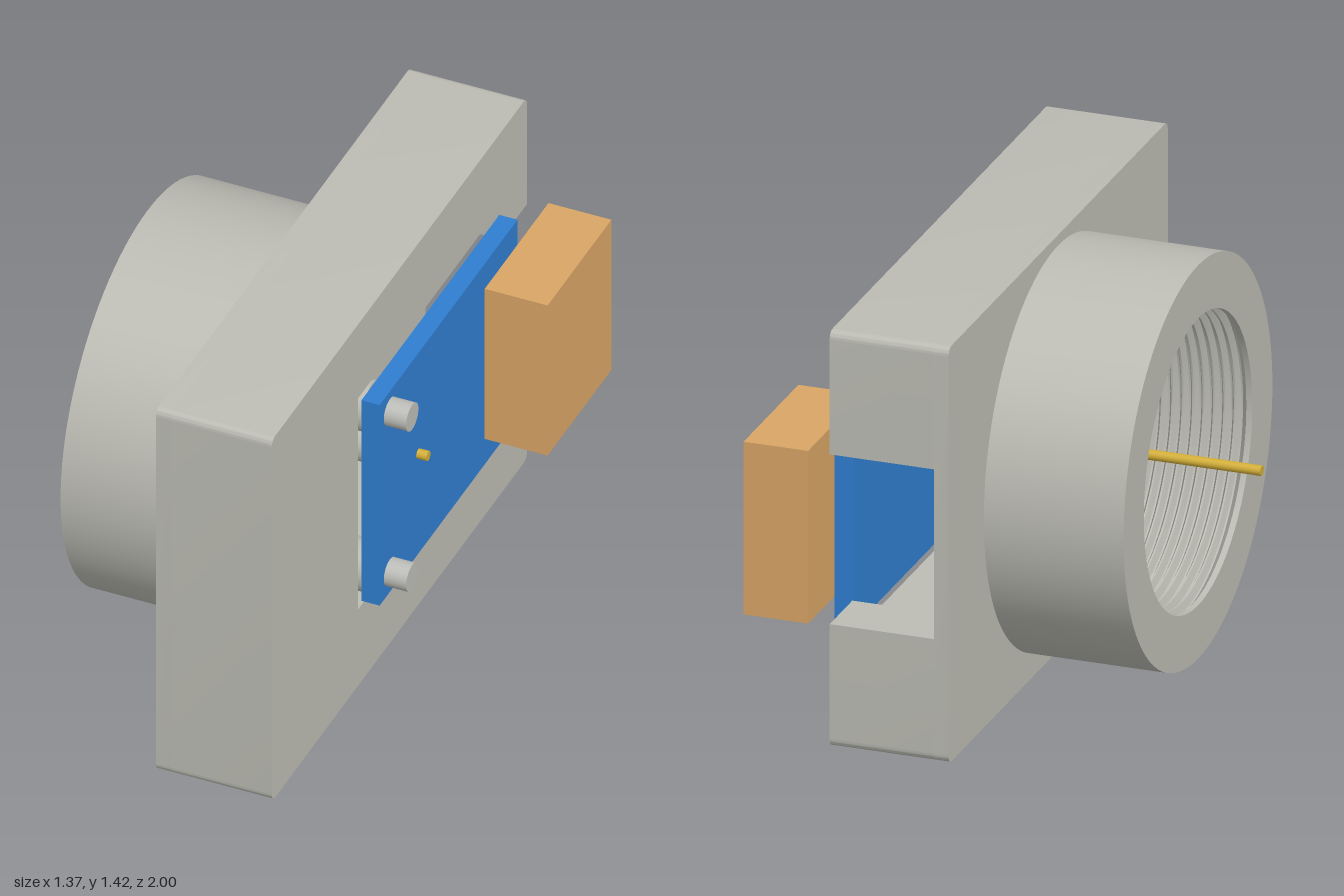
import * as THREE from 'three';
import { toCreasedNormals } from 'three/addons/utils/BufferGeometryUtils.js';

const mat = (name, color) => Object.assign(new THREE.MeshStandardMaterial({ color }), { name });

const CY = 0.712, CZ = 0.01; // axis of the threaded socket
const SCREWS = [[0.4, 0.23], [1.03, 0.23]]; // y, z

export function createModel() {
  const group = new THREE.Group();
  const housingGrey = mat('housing grey', 0xbcbcb4);
  const screwGrey = mat('screw grey', 0xbdbdb9);
  const boardBlue = mat('board blue', 0x2f7ed0);
  const connectorTan = mat('connector tan', 0xd9a566);
  const pinGold = mat('pin gold', 0xd4af37);

  const add = (name, geometry, material) => {
    const mesh = new THREE.Mesh(geometry, material);
    mesh.name = name;
    group.add(mesh);
    return mesh;
  };
  // box given by its x, y and z limits
  const box = (name, material, [x0, x1], [y0, y1], [z0, z1]) => {
    const mesh = add(name, new THREE.BoxGeometry(x1 - x0, y1 - y0, z1 - z0), material);
    mesh.position.set((x0 + x1) / 2, (y0 + y1) / 2, (z0 + z1) / 2);
  };
  // cylinder lying along x
  const rod = (name, material, r, x0, x1, y, z, sides = 32) => {
    const mesh = add(name, new THREE.CylinderGeometry(r, r, x1 - x0, sides), material);
    mesh.rotation.z = -Math.PI / 2;
    mesh.position.set((x0 + x1) / 2, y, z);
  };
  // shape drawn in (-z, y), extruded along x
  const slab = (name, shape, x0, x1) => {
    const g = new THREE.ExtrudeGeometry(shape, { depth: x1 - x0, bevelEnabled: false, curveSegments: 12 });
    const mesh = add(name, toCreasedNormals(g, 0.6), housingGrey);
    mesh.rotation.y = Math.PI / 2;
    mesh.position.x = x0;
  };

  // Outline of the block from the back edge's notch or closed, with rounded corners
  const L = -1, R = 0.98, H = 1.42, c = 0.03;
  const outline = (notch) => {
    const s = new THREE.Shape();
    s.moveTo(L + c, 0);
    s.lineTo(R - c, 0);
    s.quadraticCurveTo(R, 0, R, c);
    if (notch) {
      const path = [[R, 0.42], [0.775, 0.42], [0.775, 0.3], [-0.33, 0.3],
        [-0.33, 1.13], [0.775, 1.13], [0.775, 1.0], [R, 1.0]];
      path.forEach(([u, v]) => s.lineTo(u, v));
    }
    s.lineTo(R, H - c);
    s.quadraticCurveTo(R, H, R - c, H);
    s.lineTo(L + c, H);
    s.quadraticCurveTo(L, H, L, H - c);
    s.lineTo(L, c);
    s.quadraticCurveTo(L, 0, L + c, 0);
    return s;
  };

  // Block: thin floor with screw holes, and the wall around the pocket
  const floor = outline(false);
  for (const [y, z] of SCREWS) {
    floor.holes.push(new THREE.Path().absarc(-z, y, 0.048, 0, Math.PI * 2, true));
  }
  slab('blockFloor', floor, 0, 0.05);
  slab('blockWall', outline(true), 0.05, 0.4);

  // Threaded socket: bore teeth, rim, then the outer wall
  const profile = [[0.515, 0], [0.515, -0.04]];
  const turns = 11, pitch = 0.035;
  for (let i = 0; i < turns; i++) {
    const a = -0.05 - i * pitch;
    profile.push([0.49, a - 0.008], [0.49, a - 0.014], [0.515, a - 0.024], [0.515, a - 0.03]);
  }
  profile.push([0.49, -0.45], [0.49, -0.47], [0.672, -0.47], [0.672, 0]);
  const lathe = new THREE.LatheGeometry(profile.map(([r, x]) => new THREE.Vector2(r, x)), 96);
  const socket = add('threadedSocket', toCreasedNormals(lathe, 0.5), housingGrey);
  socket.rotation.z = -Math.PI / 2;
  socket.position.set(0, CY, CZ);

  // Circuit board with its connector
  box('circuitBoard', boardBlue, [0.402, 0.465], [0.32, 1.108], [-0.76, 0.31]);
  box('connector', connectorTan, [0.465, 0.682], [0.42, 1.01], [-1, -0.505]);

  // Screws on standoffs
  for (const [y, z] of SCREWS) {
    rod('standoff', housingGrey, 0.085, 0.05, 0.402, y, z);
    rod('screw', screwGrey, 0.048, 0.4, 0.542, y, z);
  }

  // Centre pin and its sleeve
  rod('pinSleeve', housingGrey, 0.07, 0.05, 0.402, CY, CZ);
  rod('centrePin', pinGold, 0.017, -0.685, 0.5, CY + 0.002, CZ, 16);

  return group;
}
